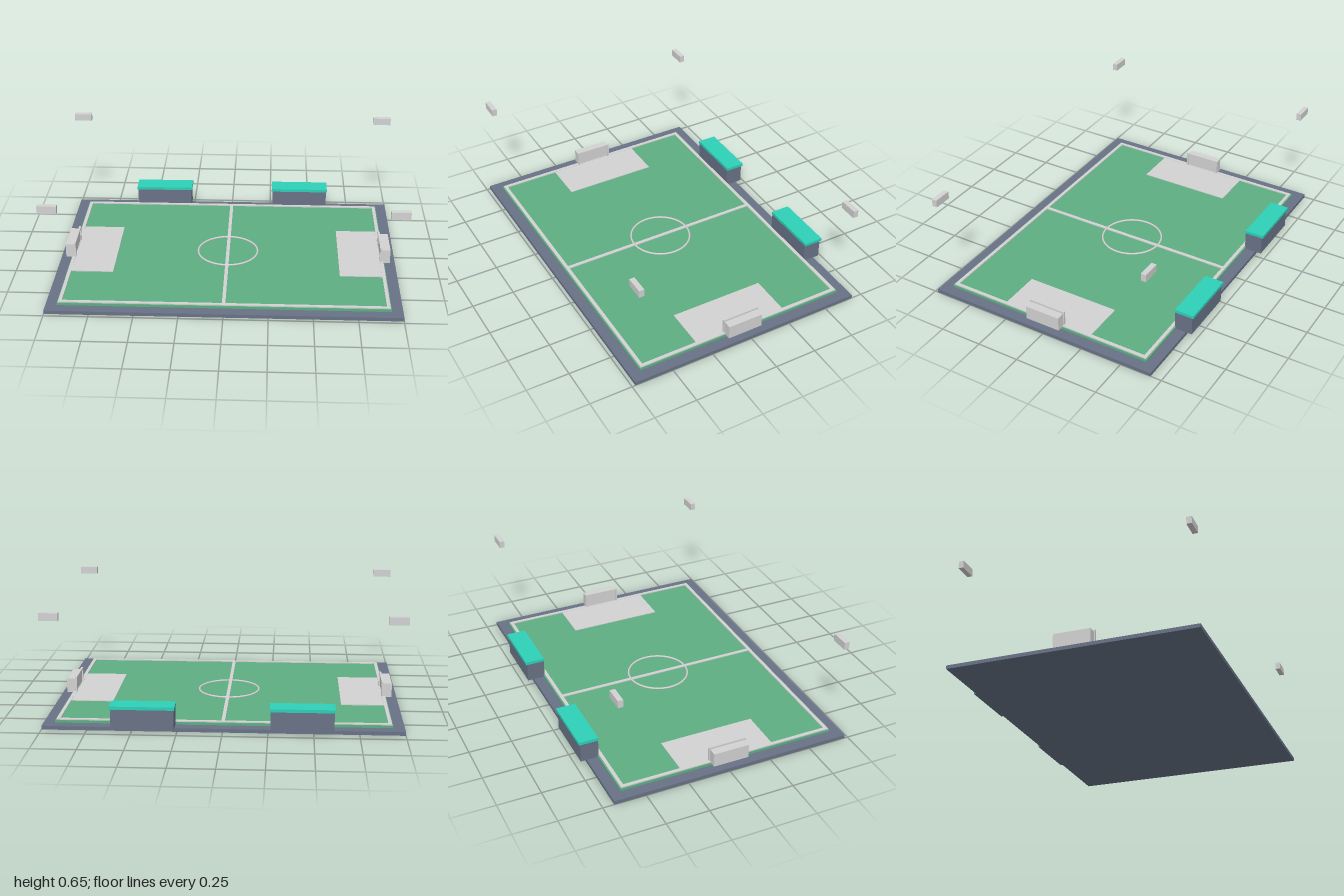
import * as THREE from 'three';

export function createModel() {
  const root = new THREE.Group();
  root.name = 'footballPitch';

  const material = (name, color) => {
    const m = new THREE.MeshStandardMaterial({ color });
    m.name = name;
    return m;
  };
  const slate = material('slate', 0x687286);
  const grass = material('grass', 0x5eae82);
  const white = material('paleGrey', 0xd2d2d2);
  const teal = material('teal', 0x2ed0b8);

  // The playing field is centred slightly forward, as the dugouts overhang the back.
  const field = new THREE.Group();
  field.name = 'field';
  field.position.z = 0.0225;
  root.add(field);

  const add = (name, geometry, mat, x, y, z, parent = field) => {
    const mesh = new THREE.Mesh(geometry, mat);
    mesh.name = name;
    mesh.position.set(x, y, z);
    parent.add(mesh);
    return mesh;
  };
  // Box given by its centre in x and z, its bottom and its top.
  const slab = (name, mat, x, z, w, d, y0, y1, parent) =>
    add(name, new THREE.BoxGeometry(w, y1 - y0, d), mat, x, (y0 + y1) / 2, z, parent);

  // Ground
  slab('base', slate, 0, 0, 2, 1.415, 0, 0.021);
  slab('turf', grass, 0, 0, 1.87, 1.29, 0.021, 0.035);

  // Markings
  const lineTop = 0.041;
  slab('halfwayLine', white, 0, 0, 0.02, 1.26, 0.034, lineTop);
  const circle = add('centreCircle', new THREE.TorusGeometry(0.179, 0.006, 8, 48), white, 0, 0.039, 0);
  circle.rotation.x = -Math.PI / 2;
  for (const s of [-1, 1]) {
    slab('touchLine', white, 0, s * 0.628, 1.86, 0.02, 0.034, lineTop);
    slab('goalLine', white, s * 0.92, 0, 0.02, 1.25, 0.034, lineTop);
    slab('penaltyArea', white, s * 0.788, 0, 0.25, 0.565, 0.034, 0.0395);
  }

  // Goals: solid net block with a bar frame on the pitch side
  for (const s of [-1, 1]) {
    const goal = new THREE.Group();
    goal.name = s < 0 ? 'rightGoal' : 'leftGoal';
    field.add(goal);
    slab('net', white, s * 0.941, 0, 0.054, 0.212, 0.034, 0.117, goal);
    slab('crossbar', white, s * 0.913, 0, 0.012, 0.224, 0.117, 0.129, goal);
    for (const side of [-1, 1]) {
      slab('post', white, s * 0.913, side * 0.106, 0.012, 0.012, 0.034, 0.117, goal);
    }
  }

  // Floodlight heads above the corners
  for (const sx of [-1, 1]) for (const sz of [-1, 1]) {
    slab('floodlight', white, sx * 0.947, sz * 0.661, 0.106, 0.03, 0.609, 0.652);
  }

  // Dugouts along the back edge
  for (const s of [-1, 1]) {
    const dugout = new THREE.Group();
    dugout.name = s < 0 ? 'rightDugout' : 'leftDugout';
    root.add(dugout);
    slab('shelter', slate, s * 0.4375, -0.668, 0.347, 0.106, 0.021, 0.135, dugout);
    slab('roof', teal, s * 0.4375, -0.6725, 0.357, 0.115, 0.135, 0.153, dugout);
  }

  return root;
}
